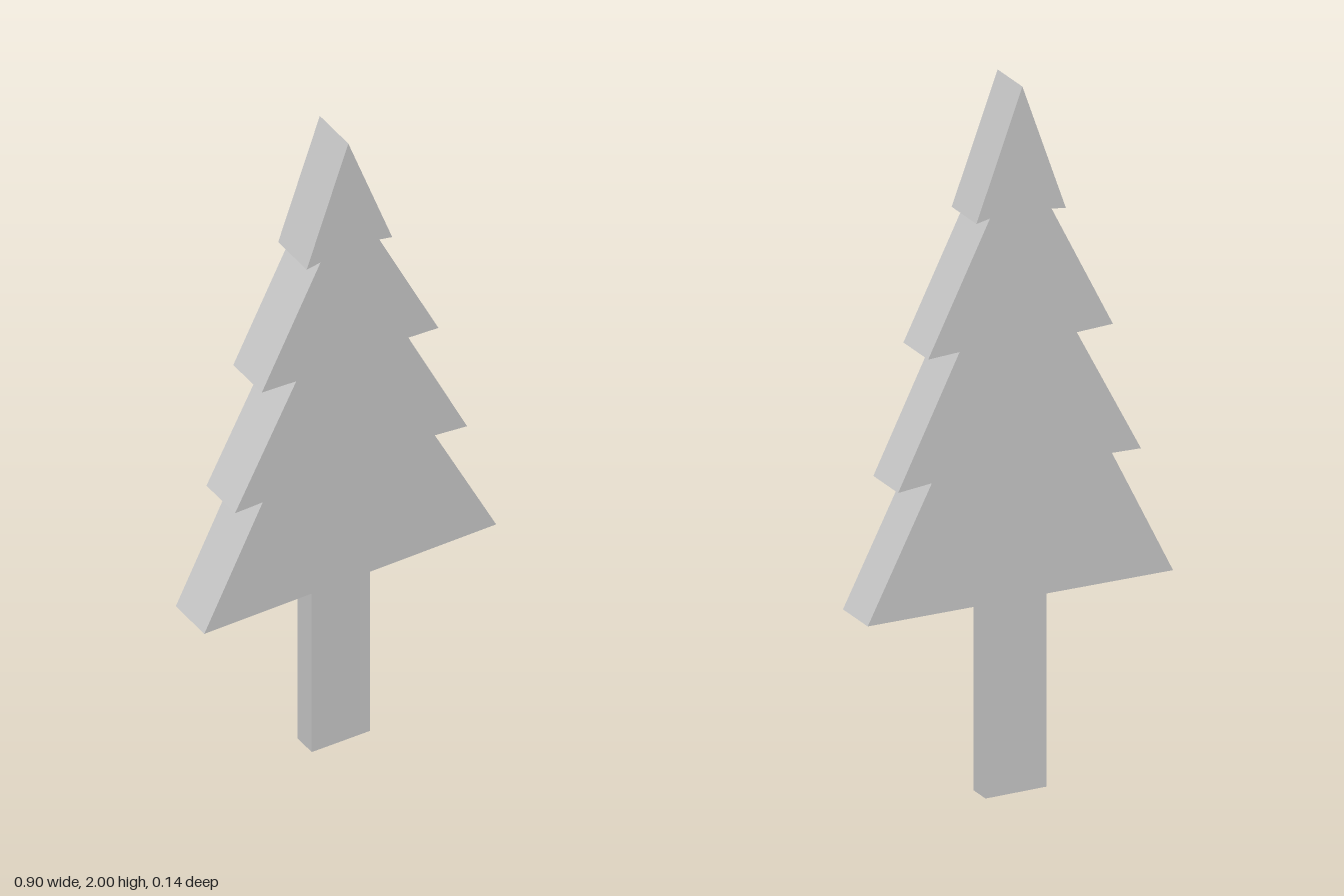
import * as THREE from 'three';

// Flat slab cut from an outline, centred on z
function slab(name, points, depth, z) {
  const shape = new THREE.Shape(points.map(([x, y]) => new THREE.Vector2(x, y)));
  const geometry = new THREE.ExtrudeGeometry(shape, { depth, bevelEnabled: false });
  geometry.translate(0, 0, z - depth / 2);
  const material = new THREE.MeshStandardMaterial({ color: 0xcccccc, flatShading: true });
  const mesh = new THREE.Mesh(geometry, material);
  mesh.name = name;
  return mesh;
}

export function createModel() {
  const tree = new THREE.Group();
  tree.name = 'tree';

  // Foliage: four tiers, slightly uneven like a hand-drawn outline
  tree.add(slab('foliage', [
    [-0.452, 0.56], [0.452, 0.56],
    [0.262, 0.93], [0.362, 0.92],
    [0.18, 1.285], [0.273, 1.28],
    [0.09, 1.645], [0.13, 1.637],
    [-0.006, 2],
    [-0.135, 1.635], [-0.092, 1.642],
    [-0.274, 1.285], [-0.167, 1.28],
    [-0.357, 0.92], [-0.271, 0.922],
  ], 0.142, 0));

  // Trunk: a thinner plank below the lowest tier
  tree.add(slab('trunk', [
    [-0.095, 0.002], [0.086, 0], [0.086, 0.56], [-0.095, 0.56],
  ], 0.07, -0.003));

  return tree;
}
